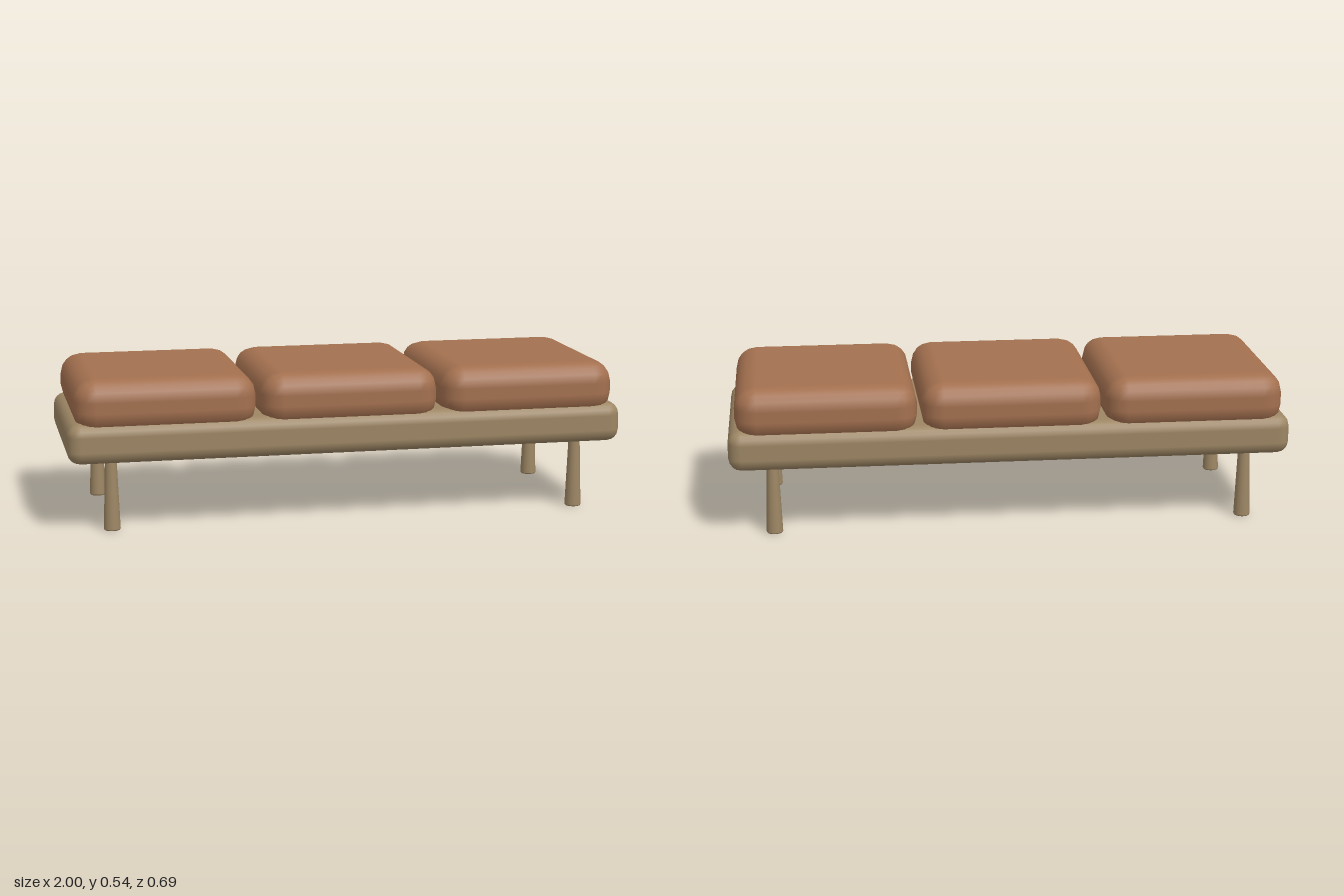
import * as THREE from 'three';
import { RoundedBoxGeometry } from 'three/addons/geometries/RoundedBoxGeometry.js';

export function createModel() {
  const model = new THREE.Group();
  model.name = 'daybedBench';

  const wood = new THREE.MeshStandardMaterial({ color: 0x9d8664 });
  wood.name = 'pale wood';
  const leather = new THREE.MeshStandardMaterial({ color: 0xa3704f });
  leather.name = 'tan leather';

  const add = (parent, name, geometry, material, x, y, z) => {
    const mesh = new THREE.Mesh(geometry, material);
    mesh.name = name;
    mesh.position.set(x, y, z);
    parent.add(mesh);
  };

  // Rounded platform
  add(model, 'base', new RoundedBoxGeometry(2, 0.145, 0.69, 2, 0.046), wood, 0, 0.3175, 0);

  // Three cushions, sunk slightly into the platform
  const cushion = new RoundedBoxGeometry(0.64, 0.19, 0.69, 2, 0.076);
  ['rightCushion', 'middleCushion', 'leftCushion'].forEach((name, i) => {
    add(model, name, cushion, leather, (i - 1) * 0.654, 0.445, 0);
  });

  // Four legs, wider at the floor, each with a small bevelled foot
  const shaft = new THREE.CylinderGeometry(0.02, 0.0295, 0.256, 24);
  const foot = new THREE.CylinderGeometry(0.0295, 0.027, 0.004, 24);
  for (const [side, x] of [['Left', 0.847], ['Right', -0.847]]) {
    for (const [end, z] of [['front', 0.267], ['back', -0.267]]) {
      const leg = new THREE.Group();
      leg.name = `${end}${side}Leg`;
      leg.position.set(x, 0, z);
      add(leg, 'legShaft', shaft, wood, 0, 0.132, 0);
      add(leg, 'legFoot', foot, wood, 0, 0.002, 0);
      model.add(leg);
    }
  }

  return model;
}
